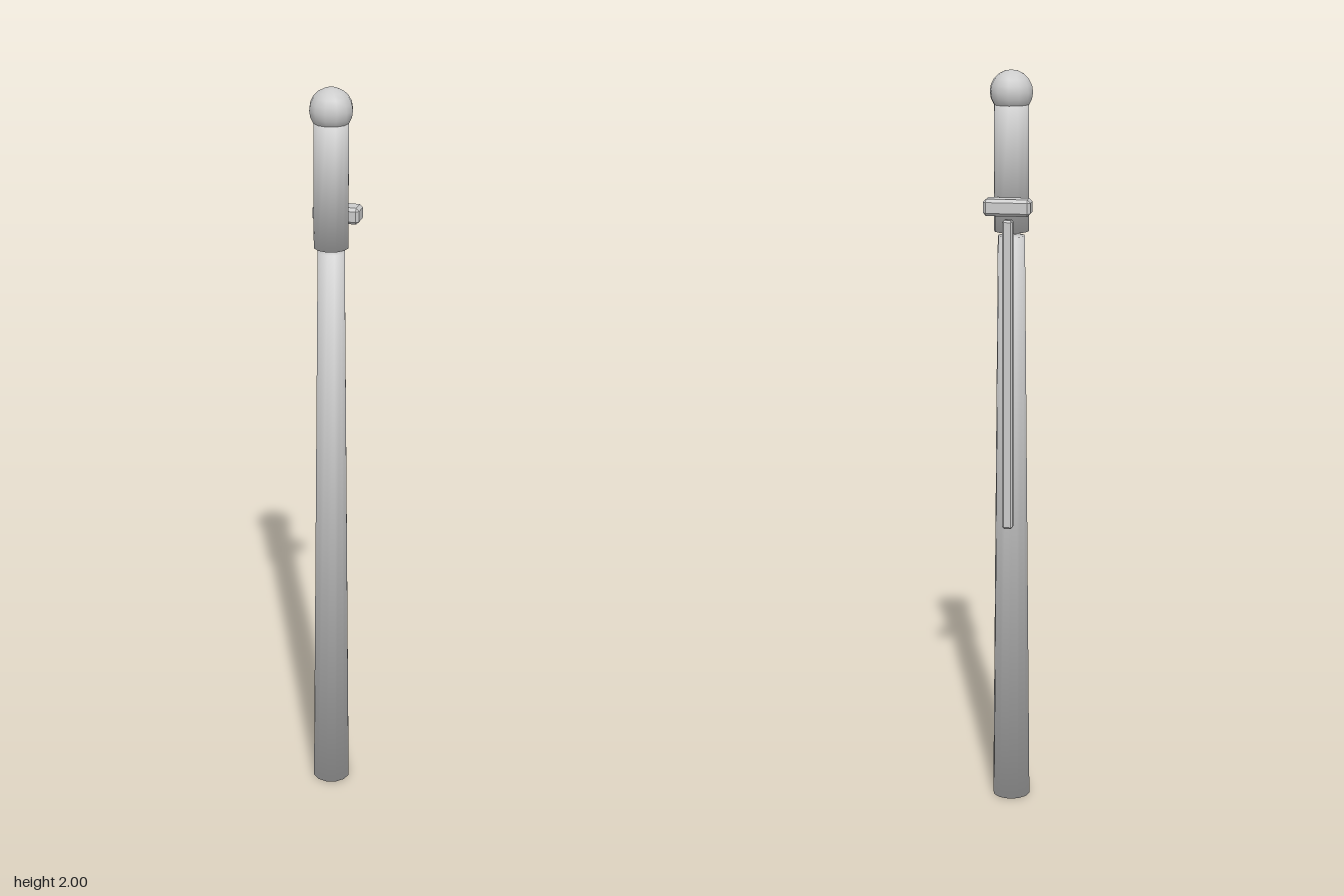
import * as THREE from 'three';
import { ConvexGeometry } from 'three/addons/geometries/ConvexGeometry.js';

const AXIS_Z = 0.015; // main axis of shaft, grip and knob
const BACK_Z = -0.047; // axis of crossbar and rod
const SIDES = 12;

// Box with every edge chamfered by c
function chamferedBox(w, h, d, c) {
  const points = [];
  for (const x of [-1, 1]) for (const y of [-1, 1]) for (const z of [-1, 1]) {
    const X = w / 2, Y = h / 2, Z = d / 2;
    points.push(
      new THREE.Vector3(x * X, y * (Y - c), z * (Z - c)),
      new THREE.Vector3(x * (X - c), y * Y, z * (Z - c)),
      new THREE.Vector3(x * (X - c), y * (Y - c), z * Z));
  }
  return new ConvexGeometry(points);
}

// Tapered cylinder from y0 to y1 whose rim normals blend into the caps
function softCylinder(rBottom, rTop, y0, y1) {
  const g = new THREE.CylinderGeometry(rTop, rBottom, y1 - y0, SIDES);
  const p = g.attributes.position, n = g.attributes.normal;
  const v = new THREE.Vector3();
  for (let i = 0; i < p.count; i++) {
    const r = Math.hypot(p.getX(i), p.getZ(i));
    if (r < 0.001) continue;
    v.set(p.getX(i) / r, Math.sign(p.getY(i)) * 0.9, p.getZ(i) / r).normalize();
    n.setXYZ(i, v.x, v.y, v.z);
  }
  return g.translate(0, (y0 + y1) / 2, 0);
}

export function createModel() {
  const group = new THREE.Group();
  const grey = new THREE.MeshStandardMaterial({ color: 0xcccccc });
  grey.name = 'light grey';

  const add = (name, geometry, y, z) => {
    const mesh = new THREE.Mesh(geometry, grey);
    mesh.name = name;
    mesh.position.set(0, y, z);
    group.add(mesh);
  };

  // Long tapered shaft, with a small gap below the grip
  add('shaft', softCylinder(0.051, 0.036, 0, 1.57), 0, AXIS_Z);
  add('grip', softCylinder(0.046, 0.046, 1.582, 1.915), 0, AXIS_Z);
  add('knob', new THREE.SphereGeometry(0.0565, SIDES, 10), 1.9435, AXIS_Z);

  // Crossbar behind the grip and the rod hanging beneath it
  add('crossbar', chamferedBox(0.124, 0.044, 0.052, 0.008), 1.654, BACK_Z);
  add('rod', chamferedBox(0.028, 0.832, 0.026, 0.005), 1.204, BACK_Z);

  return group;
}
